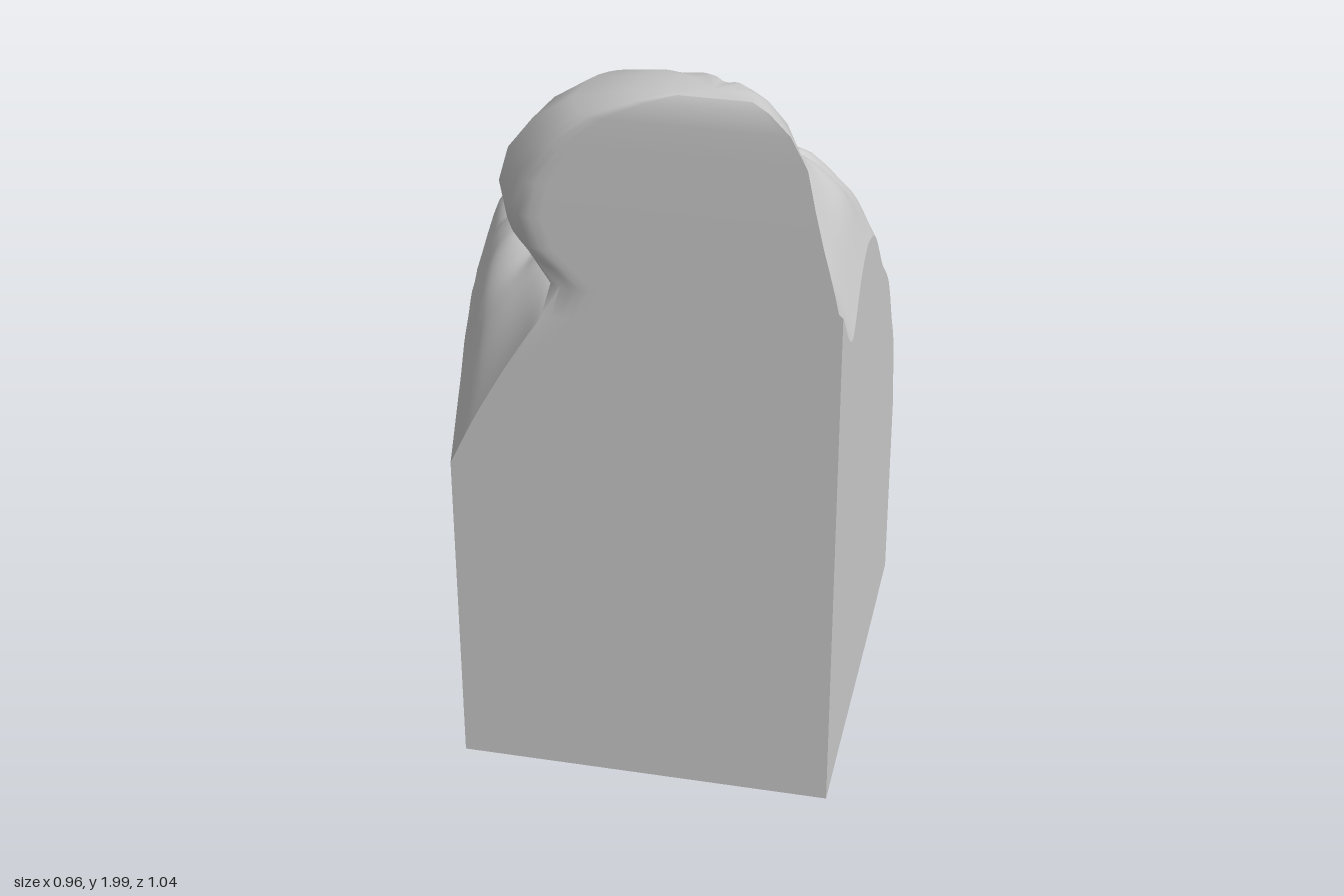
import * as THREE from 'three';
import { toCreasedNormals } from 'three/addons/utils/BufferGeometryUtils.js';

const material = new THREE.MeshStandardMaterial({ color: 0xcccccc, side: THREE.DoubleSide });
const { lerp, clamp, smoothstep } = THREE.MathUtils;

// Heights of the draped top: one cross-section over x for each z
const xs = [-0.47, -0.4, -0.29, -0.22, 0, 0.15, 0.3, 0.42, 0.48];
const sections = [
  [-0.52, [0.36, 0.48, 0.55, 0.55, 0.57, 0.58, 0.6, 0.6, 0.58]],
  [-0.47, [0.52, 0.74, 0.84, 0.81, 0.83, 0.84, 0.86, 0.85, 0.8]],
  [-0.4, [0.61, 0.88, 1.0, 0.93, 0.94, 0.97, 1.01, 0.98, 0.93]],
  [-0.3, [0.66, 0.98, 1.12, 1.03, 1.04, 1.09, 1.16, 1.14, 1.1]],
  [-0.15, [0.76, 1.08, 1.26, 1.18, 1.14, 1.22, 1.31, 1.31, 1.24]],
  [0, [0.9, 1.25, 1.42, 1.4, 1.27, 1.36, 1.5, 1.5, 1.4]],
  [0.12, [1.14, 1.42, 1.54, 1.54, 1.38, 1.53, 1.67, 1.6, 1.46]],
  [0.22, [1.32, 1.51, 1.55, 1.53, 1.47, 1.64, 1.74, 1.61, 1.43]],
  [0.35, [1.19, 1.39, 1.48, 1.5, 1.52, 1.76, 1.76, 1.5, 1.32]],
  [0.52, [0.95, 1.1, 1.3, 1.4, 1.52, 1.55, 1.56, 1.53, 1.48]],
];
const zs = sections.map((s) => s[0]);

// Smooth interpolation through unevenly spaced knots
function sample(knots, values, t) {
  const last = knots.length - 1;
  let i = 0;
  while (i < last - 1 && t > knots[i + 1]) i++;
  const slope = (k) => {
    const a = Math.max(k - 1, 0), b = Math.min(k + 1, last);
    return (values[b] - values[a]) / (knots[b] - knots[a]);
  };
  const w = knots[i + 1] - knots[i], u = clamp((t - knots[i]) / w, 0, 1);
  const u2 = u * u, u3 = u2 * u;
  return (2 * u3 - 3 * u2 + 1) * values[i] + (u3 - 2 * u2 + u) * w * slope(i)
    + (3 * u2 - 2 * u3) * values[i + 1] + (u3 - u2) * w * slope(i + 1);
}

// Creases radiating from the gathered point, leaving the back slope smooth
function folds(x, z) {
  const dx = x + 0.08, dz = z - 0.2, r = Math.hypot(dx, dz);
  const side = Math.abs(Math.atan2(dx, -dz) - 0.15);
  const mask = smoothstep(side, 0.5, 0.9) * smoothstep(r, 0.04, 0.2)
    * (1 - smoothstep(r, 0.4, 0.62)) * (1 - smoothstep(z, 0.25, 0.45));
  const wave = Math.sin(side * 13 + Math.sin(r * 14) * 1.1) + 0.4 * Math.sin(side * 27 + r * 17);
  return 0.022 * mask * wave;
}

const height = (x, z) =>
  sample(zs, sections.map((s) => sample(xs, s[1], x)), z) + folds(x, z);

// Block whose upper face follows the drapery and whose base tilts slightly
function makeBody() {
  const geo = new THREE.BoxGeometry(0.95, 1, 1.04, 64, 12, 70);
  const p = geo.attributes.position;
  for (let i = 0; i < p.count; i++) {
    const x = p.getX(i) + 0.005, z = p.getZ(i), t = p.getY(i) + 0.5;
    const base = lerp(0.012 + 0.02 * (x + 0.47), 0.047, smoothstep(z, -0.3, 0.52));
    // The right wall leans in at the back and swells beside the gathered cloth
    const nearWall = ((0.48 - x) / 0.95) ** 4;
    const lean = 0.035 * smoothstep(-z, 0.15, 0.5) - 0.012 * Math.exp(-((z / 0.2) ** 2));
    p.setXYZ(i, x + lean * nearWall * t, lerp(base, height(x, z), t), z);
  }
  geo.computeVertexNormals();
  return geo;
}

// Upright flap: [y, left x, right x, depth at left, depth at right, front z, left rounding]
const flapRows = [
  [1.05, -0.38, 0.472, 0.1, 0.04, 0.522, 0],
  [1.25, -0.31, 0.472, 0.15, 0.05, 0.522, 0],
  [1.4, -0.23, 0.472, 0.26, 0.06, 0.522, 0],
  [1.48, -0.21, 0.472, 0.34, 0.07, 0.522, 0.02],
  [1.53, -0.28, 0.462, 0.4, 0.07, 0.522, 0.08],
  [1.58, -0.34, 0.45, 0.44, 0.08, 0.522, 0.13],
  [1.66, -0.365, 0.43, 0.46, 0.08, 0.522, 0.16],
  [1.75, -0.34, 0.41, 0.46, 0.08, 0.522, 0.16],
  [1.85, -0.27, 0.39, 0.42, 0.09, 0.52, 0.12],
  [1.93, -0.17, 0.35, 0.33, 0.1, 0.52, 0.09],
  [1.98, -0.03, 0.3, 0.21, 0.1, 0.515, 0.05],
  [2.0, 0.06, 0.26, 0.12, 0.08, 0.505, 0.03],
];

function makeFlap() {
  const n = 28, ring = 2 * n, pos = [], index = [];
  for (const [y, xl, xr, dl, dr, zf, round] of flapRows) {
    for (let i = 0; i < ring; i++) {
      const back = i >= n;
      const u = back ? 1 - (i - n) / n : i / n;
      const edge = round * Math.max(1 - u / 0.14, 0) ** 2;
      const arch = Math.max(Math.sin(Math.PI * u), 0);
      const crease = 0.01 * Math.sin(u * 19 + y * 9) * arch;
      const bulge = Math.max(lerp(dl, dr, u) * Math.pow(arch, 0.25) + crease, edge);
      pos.push(lerp(xl, xr, u), y, zf - (back ? bulge : edge));
    }
  }
  for (let r = 0; r < flapRows.length - 1; r++) {
    for (let i = 0; i < ring; i++) {
      const a = r * ring + i, b = r * ring + (i + 1) % ring;
      index.push(a, b, b + ring, a, b + ring, a + ring);
    }
  }
  // Top cap
  const top = (flapRows.length - 1) * ring;
  pos.push(0.16, 2.0, 0.46);
  for (let i = 0; i < ring; i++) index.push(top + i, top + (i + 1) % ring, pos.length / 3 - 1);
  const geo = new THREE.BufferGeometry();
  geo.setAttribute('position', new THREE.Float32BufferAttribute(pos, 3));
  geo.setIndex(index);
  return toCreasedNormals(geo, 0.9);
}

export function createModel() {
  const model = new THREE.Group();
  model.name = 'wrappedBundle';
  for (const [name, geo] of [['drapedBody', makeBody()], ['uprightFlap', makeFlap()]]) {
    const mesh = new THREE.Mesh(geo, material);
    mesh.name = name;
    model.add(mesh);
  }
  return model;
}
